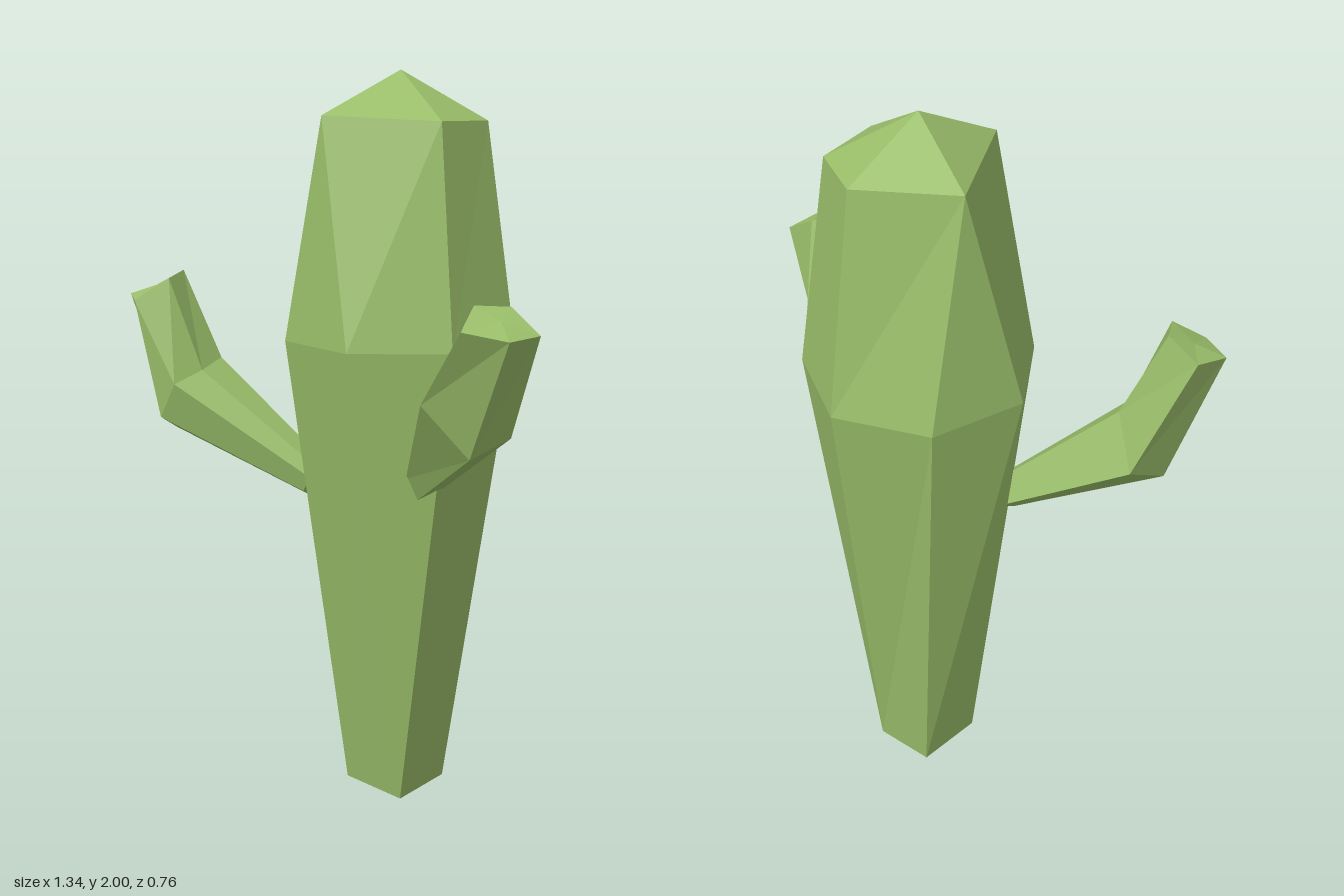
import * as THREE from 'three';

// Skin a stack of rings (counter-clockwise seen from the upper end), flat shaded.
// Points repeated within a ring merge two sides into a triangle.
function loft(rings) {
  const pos = [];
  const tri = (a, b, c) => {
    const p = [a, b, c].map((v) => new THREE.Vector3(...v));
    const area = p[1].clone().sub(p[0]).cross(p[2].clone().sub(p[0])).length();
    if (area > 1e-7) pos.push(...a, ...b, ...c);
  };
  for (let k = 0; k < rings.length - 1; k++) {
    const lo = rings[k], hi = rings[k + 1], n = lo.length;
    for (let i = 0; i < n; i++) {
      const j = (i + 1) % n;
      tri(lo[i], lo[j], hi[j]);
      tri(lo[i], hi[j], hi[i]);
    }
  }
  const g = new THREE.BufferGeometry();
  g.setAttribute('position', new THREE.Float32BufferAttribute(pos, 3));
  g.computeVertexNormals();
  return g;
}

// A ring collapsed to its centre, used to close an end
function cap(ring) {
  const c = [0, 1, 2].map((a) => ring.reduce((s, p) => s + p[a], 0) / ring.length);
  return ring.map(() => c);
}

const mid = (a, b, t) => a.map((v, i) => v + (b[i] - v) * t);

export function createModel() {
  const model = new THREE.Group();
  model.name = 'cactus';
  const green = new THREE.MeshStandardMaterial({ color: 0x99bd69, flatShading: true });
  green.name = 'cactusGreen';
  const add = (name, rings) => {
    const mesh = new THREE.Mesh(loft(rings), green);
    mesh.name = name;
    model.add(mesh);
  };

  // Trunk: four-sided foot, seven-sided belly, five-sided shoulder, pointed crown
  const [fA, fB, fC, fD] = [[0.107, 0, 0.03], [0.083, 0, -0.175], [-0.09, 0, -0.18], [-0.11, 0, 0.02]];
  const foot = [fA, fA, fB, fB, fC, fD, fD];
  const belly = [
    [0.1, 1.29, 0.23], [0.3, 1.29, 0.045], [0.28, 1.285, -0.23], [0.05, 1.275, -0.38],
    [-0.21, 1.28, -0.3], [-0.305, 1.29, -0.05], [-0.17, 1.29, 0.19],
  ];
  const [s0, s1, s2, s3, s4] = [
    [-0.05, 1.885, 0.165], [0.23, 1.872, 0.015], [0.21, 1.87, -0.19], [0.04, 1.875, -0.3], [-0.21, 1.885, -0.175],
  ];
  const shoulder = [s0, s1, s2, s3, s4, s4, s0];
  const crown = shoulder.map(() => [0.01, 2, -0.07]);
  add('trunk', [cap(foot), foot, belly, shoulder, crown]);

  // Right arm: bent, root sunk into the trunk
  const elbow = [
    [-0.56, 1.005, 0.25], [-0.515, 1.055, 0.345], [-0.455, 1.155, 0.343],
    [-0.43, 1.188, 0.263], [-0.455, 1.21, 0.17], [-0.537, 1.08, 0.11],
  ];
  const centre = cap(elbow)[0], rootCentre = [-0.17, 0.885, 0.078];
  const root = elbow.map((p) => p.map((v, i) => rootCentre[i] + (v - centre[i]) * 0.42));
  const [p0, p1, p2, p3, p4] = [
    [-0.67, 1.385, 0.315], [-0.575, 1.38, 0.377], [-0.512, 1.44, 0.305], [-0.553, 1.453, 0.218], [-0.65, 1.41, 0.205],
  ];
  const tip = [p0, p1, p1, p2, p3, p4];
  add('rightArm', [cap(root), root, elbow, tip, cap([p0, p1, p2, p3, p4])
    .concat([cap([p0, p1, p2, p3, p4])[0]])]);

  // Left arm: straight along its upper side, bent underneath
  const [r0, r1, r2, r3, r4] = [
    [0.67, 1.39, 0.158], [0.67, 1.388, 0.273], [0.562, 1.405, 0.32], [0.522, 1.455, 0.226], [0.569, 1.448, 0.144],
  ];
  const leftRoot = [
    [0.23, 1.0, 0.01], [0.19, 0.99, 0.085], [0.18, 0.95, 0.09],
    [0.2, 0.89, 0.07], [0.21, 0.9, 0.0], [0.22, 0.95, -0.03],
  ];
  const leftElbow = [
    mid(leftRoot[0], r4, 0.5), mid(leftRoot[1], r3, 0.5), [0.385, 1.2, 0.262],
    [0.5, 1.072, 0.21], [0.553, 1.12, 0.117], [0.526, 1.22, 0.061],
  ];
  const leftTip = [r4, r3, r2, r1, r0, r4];
  add('leftArm', [cap(leftRoot), leftRoot, leftElbow, leftTip, cap(leftTip)]
    .map((ring) => ring.slice()));

  // Put the left arm's rings the right way round if they face inward
  return model;
}
